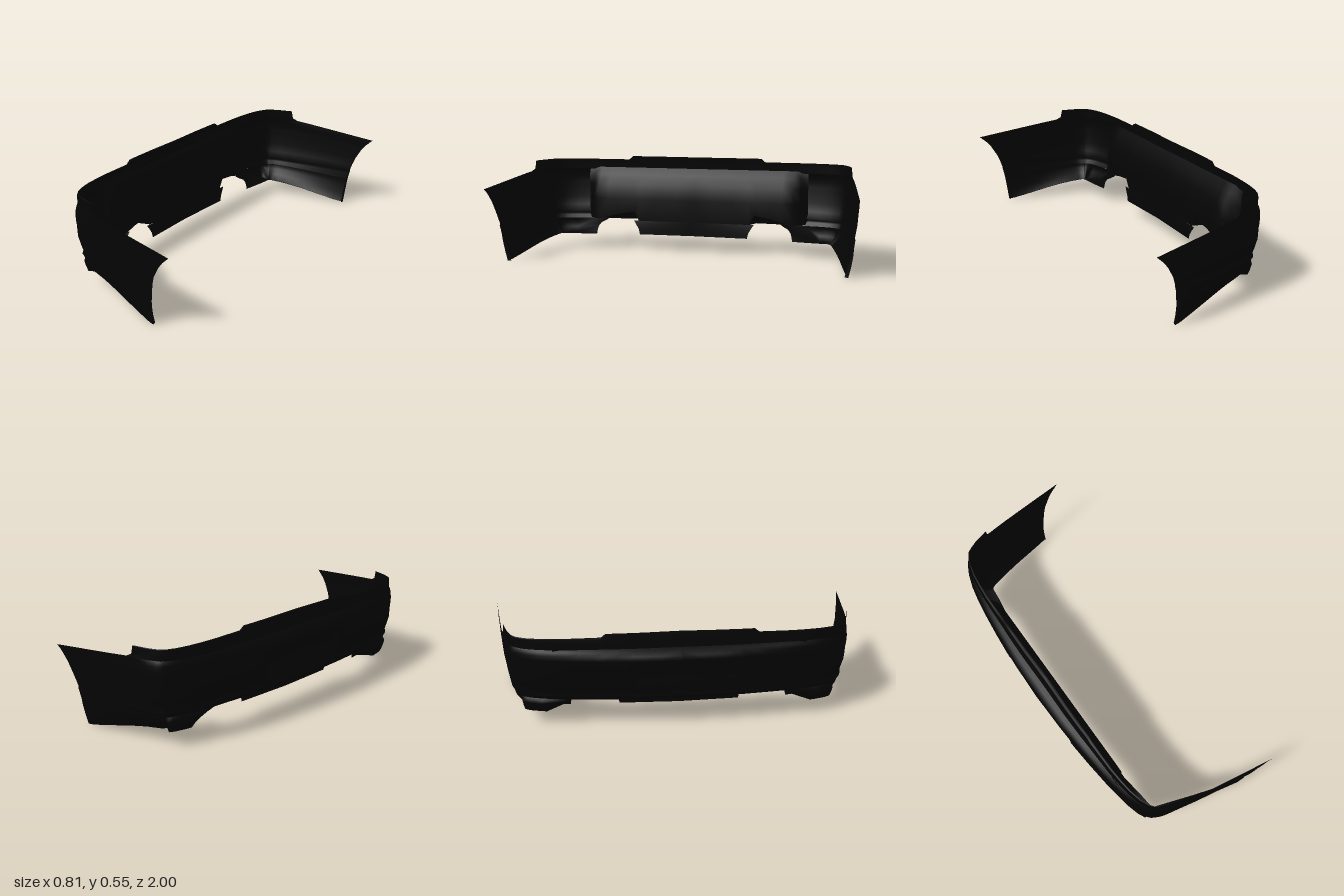
import * as THREE from 'three';

const { lerp, clamp, smoothstep } = THREE.MathUtils;

// Linear lookup in a table whose first column ascends
function look(table, v, col = 1) {
  let i = 1;
  while (i < table.length - 1 && v > table[i][0]) i++;
  const a = table[i - 1], b = table[i];
  return lerp(a[col], b[col], clamp((v - a[0]) / (b[0] - a[0]), 0, 1));
}

// Rear half plan: z, outer x, and the direction of an inset (x, z)
const REAR = [
  [0, -0.41, 1, 0], [0.2, -0.405, 1, 0], [0.33, -0.398, 1, 0], [0.45, -0.388, 1, 0],
  [0.585, -0.373, 0.93, 0], [0.66, -0.362, 0.93, 0], [0.73, -0.348, 0.9, 0],
  [0.8, -0.325, 0.78, -0.1], [0.85, -0.3, 0.63, -0.4], [0.88, -0.276, 0.46, -0.6],
  [0.895, -0.25, 0.25, -0.75],
];
// Side: outer z, bottom y and top y along x; wheel-arch x by height
const SIDE_Z = [[-0.25, 0.895], [-0.2, 0.912], [0, 0.946], [0.2, 0.973], [0.405, 1]];
const BOTTOM = [[-0.22, 0.087], [-0.1, 0.073], [0, 0.053], [0.1, 0.029], [0.22, 0.002], [0.255, 0]];
const TOP = [[-0.1, 0.47], [0.405, 0.415]];
const ARCH = [[0, 0.255], [0.07, 0.257], [0.14, 0.265], [0.22, 0.28], [0.275, 0.3],
  [0.33, 0.33], [0.375, 0.365], [0.415, 0.405]];
// The top edge is set back less towards the corners
const TOP_INSET = [[0, 1], [0.4, 0.75], [0.7, 0.45], [0.87, 0.3]];

// Upright sections as [inset, y]
const BODY = [[0.05, 0.17], [0.038, 0.19], [0.03, 0.2], [0.04, 0.213], [0.025, 0.25], [0.008, 0.3],
  [0.004, 0.374], [0.001, 0.386], [0, 0.42], [0.004, 0.445], [0.03, 0.46], [0.055, 0.47]];
const CORNER_SKIRT = [[0.15, 0.088], [0.06, 0.087], [0.045, 0.116], [0.035, 0.145], [0.04, 0.16], [0.05, 0.17]];
const SIDE_SKIRT = [[0.15, 0.088], [0.13, 0.087], [0.09, 0.115], [0.06, 0.145], [0.052, 0.16], [0.05, 0.17]];

function rearPoint(z, inset, y) {
  const d = y > 0.45 ? inset * look(TOP_INSET, z) : inset;
  return [look(REAR, z, 1) + d * look(REAR, z, 2), y, z + d * look(REAR, z, 3)];
}

// Stretch a section height to fit between the local bottom and top edges
function fitY(x, y) {
  return y < 0.2
    ? 0.2 - (0.2 - y) * (0.2 - look(BOTTOM, x)) / 0.113
    : 0.2 + (y - 0.2) * (look(TOP, x) - 0.2) / 0.27;
}

function sidePoint(t, inset, y) {
  const d = y > 0.45 ? inset * 0.3 * Math.max(0, 1 - t * 4.08) : inset;
  const x = lerp(-0.25, look(ARCH, fitY(0.405, y)), t) + d * 0.25 * Math.max(0, 1 - t * 8);
  return [x, fitY(x, y), look(SIDE_Z, x) - d * lerp(0.75, 0.3, t)];
}

// Surface through columns of points
function sheet(columns) {
  const n = columns[0].length, index = [];
  for (let i = 0; i < columns.length - 1; i++) {
    for (let j = 0; j < n - 1; j++) {
      const a = i * n + j, b = a + n;
      index.push(a, a + 1, b, b, a + 1, b + 1);
    }
  }
  const g = new THREE.BufferGeometry();
  g.setAttribute('position', new THREE.Float32BufferAttribute(columns.flat(2), 3));
  g.setIndex(index);
  g.computeVertexNormals();
  return g;
}

const range = (a, b, n) => Array.from({ length: n + 1 }, (_, i) => a + (b - a) * i / n);

export function createModel() {
  const black = new THREE.MeshStandardMaterial({ color: 0x040404, side: THREE.DoubleSide });
  black.name = 'black plastic';
  const model = new THREE.Group();
  model.name = 'bumper';

  // Each part is made for one half and mirrored across z = 0
  const addPair = (name, geometry) => {
    for (const s of [1, -1]) {
      const m = new THREE.Mesh(geometry, black);
      m.name = name + (s > 0 ? 'Left' : 'Right');
      m.scale.z = s;
      model.add(m);
    }
  };

  const cornerZ = [0.73, 0.77, 0.8, 0.825, 0.85, 0.867, 0.88, 0.89, 0.895];
  const flangeT = [0.04, 0.08, 0.125, 0.19, 0.245];
  const sideT = [...flangeT, 0.35, 0.45, 0.55, 0.65, 0.75, 0.85, 0.94, 1];

  // Main skin with a shallow plate recess, rounded corner and side panel
  const skinColumn = z => BODY.map(([d, y]) => {
    const recess = y > 0.28 && y < 0.38 ? 0.025 * (1 - smoothstep(z, 0.25, 0.3)) : 0;
    return rearPoint(z, d + recess, y);
  });
  addPair('skin', sheet([
    ...[0, 0.1, 0.2, 0.25, 0.275, 0.3, 0.33, 0.4, 0.45, 0.52, 0.585, 0.66, ...cornerZ].map(skinColumn),
    ...sideT.map(t => BODY.map(([d, y]) => sidePoint(t, d, y))),
  ]));

  // Narrow return along the wheel-arch edge
  addPair('archReturn', sheet([...SIDE_SKIRT.slice(1), ...BODY.slice(1)].map(([d, y]) => {
    const [x, h, z] = sidePoint(1, d, y);
    return [[x, h, z], [x - 0.004, h, z - 0.02 * (1 - h / 0.416)]];
  })));

  // Corner and side skirt, starting at the rounded rim of the exhaust notch
  const rim = [[-0.235, 0.088, 0.585], [-0.237, 0.11, 0.582], [-0.24, 0.135, 0.575],
    [-0.245, 0.155, 0.56], [-0.25, 0.168, 0.535], [-0.26, 0.19, 0.5]];
  const shoulderZ = [0.66, 0.71, 0.7, 0.67, 0.63, 0.585];
  addPair('cornerSkirt', sheet([
    rim,
    CORNER_SKIRT.map(([d, y], j) => rearPoint(shoulderZ[j], d, y)),
    ...cornerZ.map(z => (z < 0.86 ? CORNER_SKIRT : SIDE_SKIRT).map(([d, y]) => rearPoint(z, d, y))),
    ...sideT.map(t => SIDE_SKIRT.map(([d, y]) => sidePoint(t, d, y))),
  ]));

  // Underside of the rear face, arched over each notch
  const ARCH_Y = [[0.33, 0.17], [0.36, 0.225], [0.45, 0.21], [0.585, 0.175]];
  const underZ = [0, 0.11, 0.22, 0.33, 0.36, 0.4, 0.45, 0.52, 0.585];
  addPair('underside', sheet(underZ.map(z => [
    rearPoint(z, 0.05, 0.17), [-0.26, look(ARCH_Y, z), z],
  ])));

  // Inner wall behind the rear face, fading into the skin at the corner
  addPair('innerWall', sheet([...underZ, 0.62, 0.66].map(z => {
    const w = 1 - smoothstep(z, 0.58, 0.67);
    return [[-0.26, look(ARCH_Y, z)], [-0.26, 0.3], [-0.28, 0.38], [-0.31, 0.44], [-0.34, 0.48]]
      .map(([x, y]) => [lerp(rearPoint(z, 0.03, y)[0], x, w), y, z]);
  })));

  // Upright valance between the notches, with rounded ends
  const valance = [[-0.249, 0.092, 0.322], [-0.25, 0.12, 0.328], [-0.252, 0.15, 0.345],
    [-0.256, 0.172, 0.36]];
  addPair('valance', sheet(range(0, 1, 6).map(t =>
    valance.map(([x, y, z]) => [lerp(-0.26, x, t), y, z * t]))));

  // Upper mounting flange, raised in the middle and cut off on the side
  const flangeColumn = z => {
    const h = z < 0.4 ? 0.548 : 0.528;
    return [[0.055, 0.47], [0.06, 0.5], [0.065, h - 0.004], [0.07, h], [0.085, h]]
      .map(([d, y]) => rearPoint(z, d, y));
  };
  const flangeEnd = [-0.09, -0.115, -0.124, -0.125, -0.125];
  const flangeSide = t => {
    const u = t / 0.245;
    return flangeColumn(0.895).map(([x0, y, z0], j) => {
      if (j === 0) return sidePoint(t, 0.055, 0.47);
      const x = lerp(x0, flangeEnd[j], u);
      return [x, j === 1 ? lerp(y, 0.483, u) : y, look(SIDE_Z, x) - (look(SIDE_Z, x0) - z0) * (1 - u * 0.7)];
    });
  };
  addPair('flange', sheet([
    ...[...range(0, 0.385, 6), 0.41, 0.5, 0.585, 0.66, ...cornerZ].map(flangeColumn),
    ...flangeT.map(flangeSide),
  ]));

  return model;
}
